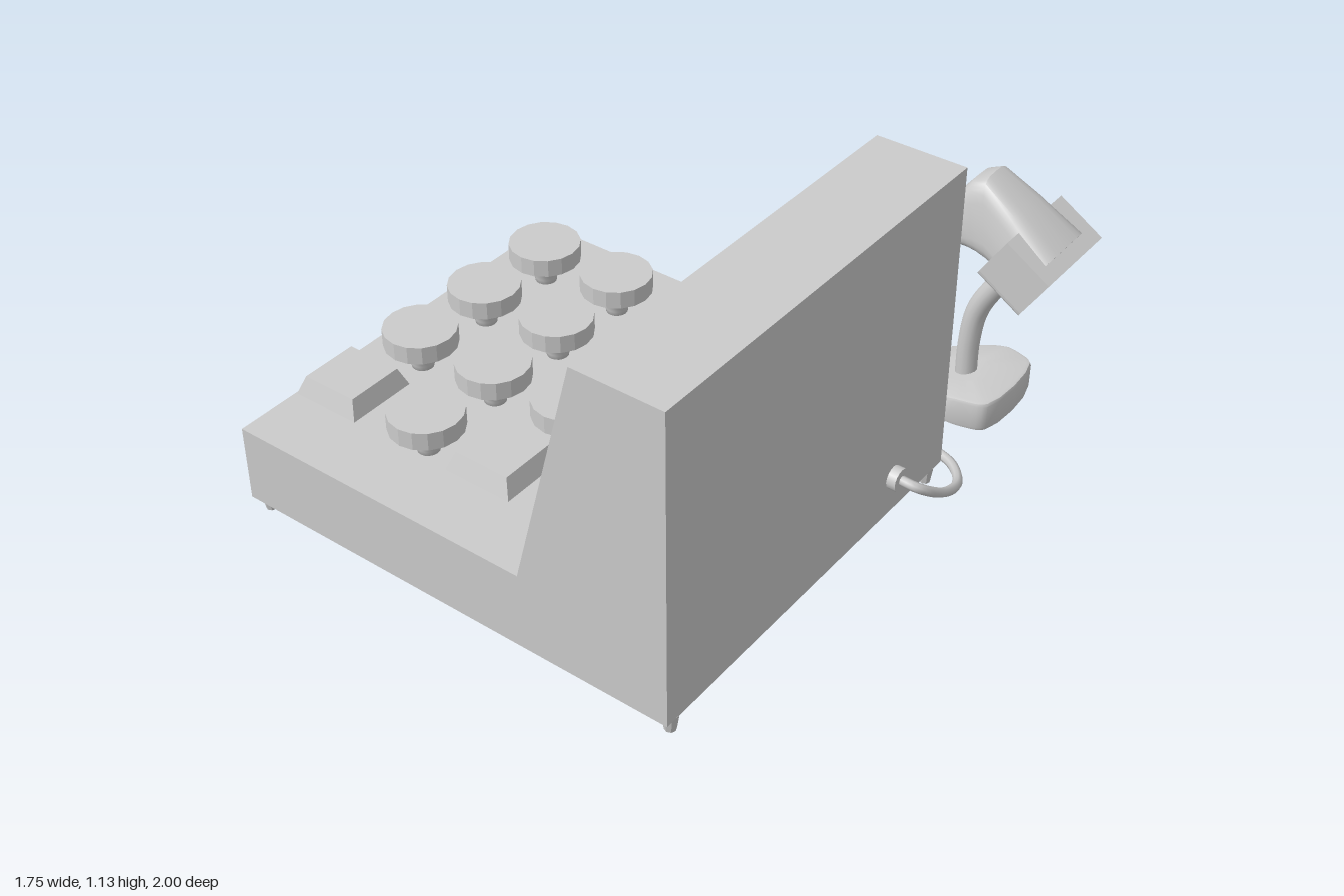
import * as THREE from 'three';
import { toCreasedNormals } from 'three/addons/utils/BufferGeometryUtils.js';

const V = (x, y, z) => new THREE.Vector3(x, y, z);
const SCAN_Z = -0.82; // centre plane of the hand scanner

export function createModel() {
  const root = new THREE.Group();
  const smooth = new THREE.MeshStandardMaterial({ color: 0xcccccc });
  const flat = new THREE.MeshStandardMaterial({ color: 0xcccccc, flatShading: true });

  const add = (name, geometry, material = smooth, parent = root) => {
    const mesh = new THREE.Mesh(geometry, material);
    mesh.name = name;
    parent.add(mesh);
    return mesh;
  };

  // Skin a list of equal-length rings and close both ends
  const loft = (rings, crease = 0.6) => {
    const n = rings[0].length;
    const index = [];
    for (let i = 0; i < rings.length - 1; i++) {
      for (let j = 0; j < n; j++) {
        const a = i * n + j, b = i * n + (j + 1) % n;
        index.push(a, a + n, b, b, a + n, b + n);
      }
    }
    const last = (rings.length - 1) * n;
    for (let j = 1; j < n - 1; j++) {
      index.push(0, j, j + 1, last, last + j + 1, last + j);
    }
    const geo = new THREE.BufferGeometry().setFromPoints(rings.flat());
    geo.setIndex(index);
    return toCreasedNormals(geo, crease);
  };

  // Cylinder or cone running between two points
  const rod = (name, from, to, r0, r1, parent = root) => {
    const dir = to.clone().sub(from);
    const mesh = add(name, new THREE.CylinderGeometry(r1, r0, dir.length(), 16), smooth, parent);
    mesh.position.copy(from).addScaledVector(dir, 0.5);
    mesh.quaternion.setFromUnitVectors(V(0, 1, 0), dir.normalize());
    return mesh;
  };

  // Terminal housing: side profile pulled along z
  const profile = new THREE.Shape([
    [-0.88, 0.07], [0.7, 0.07], [0.7, 1.13], [0.4, 1.13], [0.19, 0.33], [-0.88, 0.33],
  ].map(([x, y]) => new THREE.Vector2(x, y)));
  const housing = new THREE.ExtrudeGeometry(profile, { depth: 1.4, bevelEnabled: false });
  add('housing', housing.translate(0, 0, -0.4), flat);

  // Feet
  for (const x of [-0.852, 0.675]) {
    for (const z of [-0.353, 0.953]) {
      add('foot', new THREE.CylinderGeometry(0.027, 0.018, 0.06, 8), flat).position.set(x, 0.042, z);
    }
  }

  // Keypad: round keys, with square ones in the two front corners
  const stemProfile = [[0, 0.32], [0.034, 0.32], [0.037, 0.345], [0.045, 0.38], [0.062, 0.405], [0.066, 0.417]];
  for (let row = 0; row < 4; row++) {
    for (let col = 0; col < 3; col++) {
      const square = row === 3 && col !== 1;
      const key = new THREE.Group();
      key.name = square ? 'squareKey' : 'roundKey';
      key.position.set(-0.67 + col * 0.295, 0, -0.15 + row * 0.295);
      root.add(key);
      const k = square ? Math.SQRT2 : 1;
      const cap = square
        ? new THREE.CylinderGeometry(0.094 * k, 0.117 * k, 0.06, 4)
        : new THREE.CylinderGeometry(0.117, 0.117, 0.06, 16);
      const stem = new THREE.LatheGeometry(
        stemProfile.map(([r, y]) => new THREE.Vector2(r * k * (square ? 0.9 : 1), y)), square ? 4 : 16);
      if (square) {
        cap.rotateY(Math.PI / 4);
        stem.rotateY(Math.PI / 4);
      }
      add('keyCap', cap, flat, key).position.y = 0.445;
      add('keyStem', stem, square ? flat : smooth, key);
    }
  }

  // Cable socket on the side wall and the cable lying on the table
  rod('cableSocket', V(0.695, 0.2, -0.11), V(0.73, 0.2, -0.11), 0.038, 0.038);
  const cable = new THREE.CatmullRomCurve3([
    [0.72, 0.2, -0.11], [0.78, 0.185, -0.125], [0.81, 0.12, -0.22], [0.785, 0.055, -0.36],
    [0.7, 0.028, -0.46], [0.58, 0.022, -0.493], [0.42, 0.019, -0.493], [0.27, 0.017, -0.485],
    [0.12, 0.018, -0.512], [0.025, 0.04, -0.6], [-0.015, 0.08, -0.7], [0.0, 0.145, -0.785],
    [0.05, 0.2, -0.818], [0.12, 0.285, SCAN_Z],
  ].map((p) => V(...p)));
  add('cable', new THREE.TubeGeometry(cable, 120, 0.016, 8));

  // Hand scanner on its stand
  const scanner = new THREE.Group();
  scanner.name = 'scanner';
  scanner.position.z = SCAN_Z;
  root.add(scanner);
  rod('cablePlug', V(0.175, 0.345, 0), V(0.112, 0.275, 0), 0.032, 0.02, scanner);

  // Handle and head: upper x,y / lower x,y / upper and lower half width
  const sections = [
    [0.145, 0.36, 0.21, 0.315, 0.095, 0.095],
    [0.15, 0.415, 0.235, 0.37, 0.097, 0.095],
    [0.18, 0.485, 0.275, 0.445, 0.097, 0.095],
    [0.25, 0.565, 0.33, 0.525, 0.097, 0.095],
    [0.36, 0.65, 0.415, 0.59, 0.095, 0.095],
    [0.46, 0.71, 0.5, 0.62, 0.092, 0.1],
    [0.49, 0.8, 0.55, 0.615, 0.085, 0.105],
    [0.525, 0.845, 0.58, 0.61, 0.08, 0.11],
    [0.575, 0.87, 0.62, 0.6, 0.078, 0.118],
    [0.7, 0.797, 0.66, 0.59, 0.1, 0.13],
    [0.84, 0.7, 0.74, 0.54, 0.13, 0.14],
  ];
  const power = (v) => Math.sign(v) * Math.pow(Math.abs(v), 0.5);
  const rings = sections.map(([tx, ty, bx, by, wt, wb]) =>
    Array.from({ length: 28 }, (_, j) => {
      const a = (j / 28) * Math.PI * 2;
      const t = (power(Math.sin(a)) + 1) / 2;
      return V(bx + (tx - bx) * t, by + (ty - by) * t, power(Math.cos(a)) * (wb + (wt - wb) * t));
    }));
  add('handleAndHead', loft(rings, 0.7), smooth, scanner);

  // Front collar with a recessed window
  const collar = new THREE.Group();
  collar.name = 'collar';
  collar.position.set(0.75, 0.63, 0);
  collar.rotation.z = -0.565;
  scanner.add(collar);
  const W = 0.168, H = 0.089, R = 0.022;
  const rim = new THREE.Shape();
  rim.moveTo(-W, H).lineTo(-W, -H + R).quadraticCurveTo(-W, -H, -W + R, -H);
  rim.lineTo(W - R, -H).quadraticCurveTo(W, -H, W, -H + R).lineTo(W, H).closePath();
  const hole = new THREE.Path();
  hole.moveTo(-0.14, -0.05).lineTo(-0.14, 0.05).lineTo(0.14, 0.05).lineTo(0.14, -0.05).closePath();
  rim.holes.push(hole);
  const rimGeo = new THREE.ExtrudeGeometry(rim, { depth: 0.18, bevelEnabled: false, curveSegments: 4 });
  add('collarRim', rimGeo.translate(0, 0, -0.09).rotateY(Math.PI / 2), flat, collar);
  add('window', new THREE.BoxGeometry(0.15, 0.104, 0.284), flat, collar).position.x = -0.008;

  // Stand: curved neck on a wedge-shaped, teardrop base that is hollow below
  const neck = new THREE.CatmullRomCurve3([
    [0.54, 0.05], [0.54, 0.22], [0.56, 0.35], [0.615, 0.46], [0.7, 0.57],
  ].map(([x, y]) => V(x, y, 0)));
  add('standNeck', new THREE.TubeGeometry(neck, 28, 0.036, 14), smooth, scanner);

  const half = [[0.7, 0.14], [0.64, 0.17], [0.55, 0.177], [0.42, 0.133], [0.34, 0.08], [0.3, 0.03]];
  const outline = new THREE.CatmullRomCurve3([
    ...half.map(([x, z]) => V(x, 0, z)),
    ...half.slice().reverse().map(([x, z]) => V(x, 0, -z)),
  ], true, 'centripetal').getPoints(48).slice(0, 48);
  const topAt = (x) => 0.04 + 0.08 * THREE.MathUtils.clamp((x - 0.3) / 0.3, 0, 1);
  const baseRing = (scale, height) => outline.map((p) => {
    const x = 0.53 + (p.x - 0.53) * scale;
    return V(x, height(topAt(x)), p.z * scale);
  });
  add('standBase', loft([
    baseRing(0.86, (h) => h * 0.6),
    baseRing(0.88, () => 0.01),
    baseRing(0.95, () => 0.01),
    baseRing(0.985, () => 0.015),
    baseRing(1, () => 0.026),
    baseRing(1, (h) => h - 0.012),
    baseRing(0.98, (h) => h - 0.003),
    baseRing(0.93, (h) => h),
    baseRing(0.4, (h) => h),
  ]), smooth, scanner);
  rod('standPeg', V(0.54, 0.02, 0), V(0.54, 0.1, 0), 0.03, 0.03, scanner);

  return root;
}
